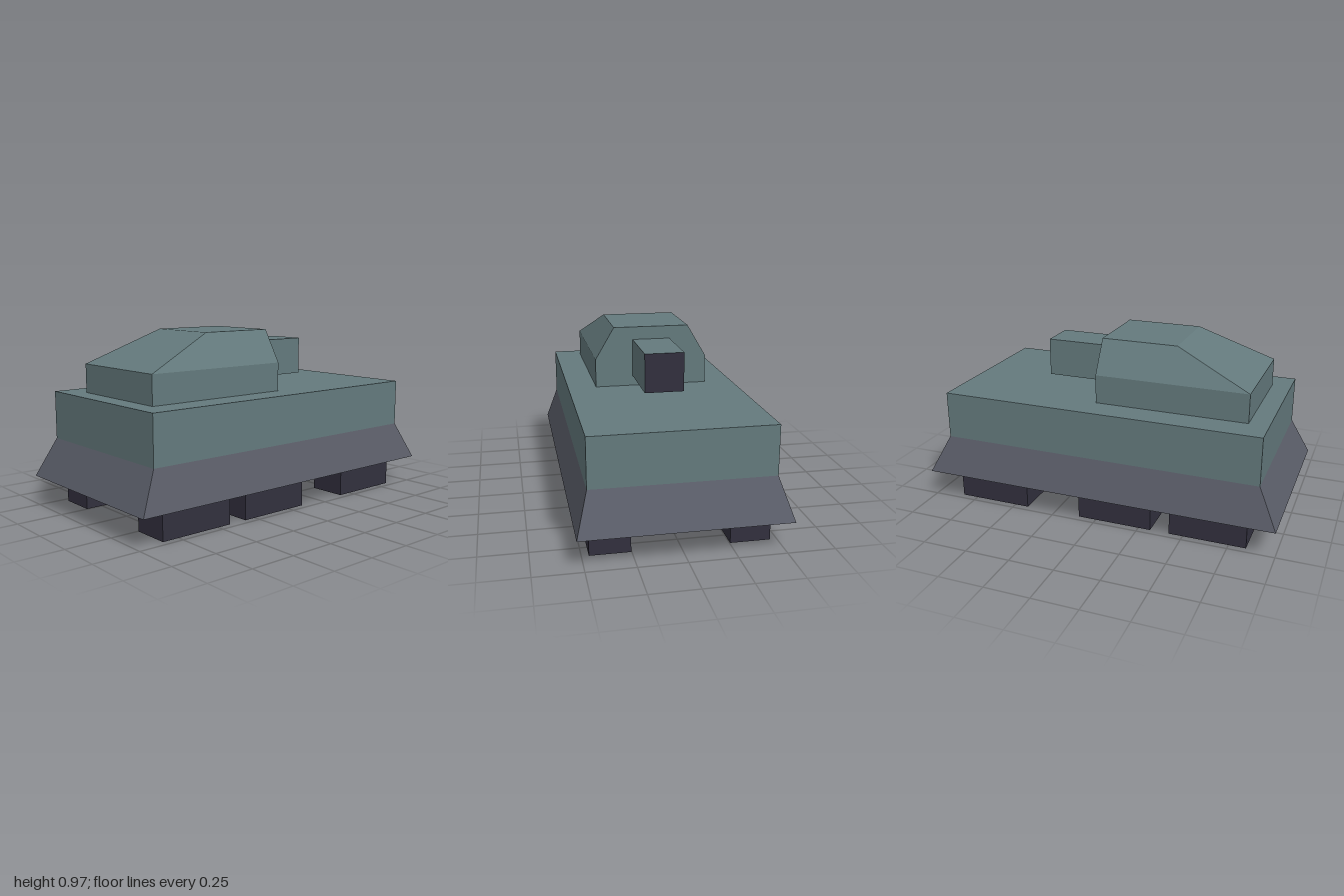
import * as THREE from 'three';

const armour = new THREE.MeshStandardMaterial({ color: 0x647a7d });
armour.name = 'armour teal';
const skirtGrey = new THREE.MeshStandardMaterial({ color: 0x5a5d68, side: THREE.DoubleSide });
skirtGrey.name = 'skirt grey';
const dark = new THREE.MeshStandardMaterial({ color: 0x32303e });
dark.name = 'dark running gear';

// Box given by its minimum and maximum corners
function box(name, min, max, material) {
  const size = max.map((v, i) => v - min[i]);
  const mesh = new THREE.Mesh(new THREE.BoxGeometry(...size), material);
  mesh.position.set(...max.map((v, i) => (v + min[i]) / 2));
  mesh.name = name;
  return mesh;
}

// Flat-faced walls through rectangular rings [y, halfWidth, zBack, zFront], bottom to top
function loft(rings, capTop) {
  const loops = rings.map(([y, w, z0, z1]) => [[w, y, z1], [w, y, z0], [-w, y, z0], [-w, y, z1]]);
  const pos = [];
  const quad = (a, b, c, d) => pos.push(...a, ...b, ...c, ...a, ...c, ...d);
  for (let r = 0; r + 1 < loops.length; r++) {
    const lo = loops[r], hi = loops[r + 1];
    for (let i = 0; i < 4; i++) {
      const j = (i + 1) % 4;
      quad(lo[i], lo[j], hi[j], hi[i]);
    }
  }
  if (capTop) quad(...loops[loops.length - 1]);
  const geometry = new THREE.BufferGeometry();
  geometry.setAttribute('position', new THREE.Float32BufferAttribute(pos, 3));
  geometry.computeVertexNormals();
  return geometry;
}

export function createModel() {
  const model = new THREE.Group();
  model.name = 'armouredVehicle';

  // Hull with a dark underside
  model.add(box('hull', [-0.472, 0.37, -0.895], [0.472, 0.633, 0.895],
    [armour, armour, armour, dark, armour, armour]));

  // Flared skirt, open below
  const skirt = new THREE.Mesh(
    loft([[0.16, 0.535, -1, 1], [0.37, 0.472, -0.895, 0.895]], false), skirtGrey);
  skirt.name = 'skirt';
  model.add(skirt);

  // Turret with sloped front and sides
  const turret = new THREE.Mesh(loft([
    [0.633, 0.315, -0.052, 0.788],
    [0.79, 0.315, -0.052, 0.788],
    [0.968, 0.21, -0.052, 0.37],
  ], true), armour);
  turret.name = 'turret';
  model.add(turret);

  // Gun with a dark muzzle face
  model.add(box('gun', [-0.105, 0.688, -0.422], [0.105, 0.897, -0.052],
    [armour, armour, armour, armour, armour, dark]));

  // Three running-gear blocks on each side
  for (const side of [-1, 1]) {
    for (const z of [0.633, 0.108, -0.631]) {
      const x = side * 0.358;
      model.add(box('wheelBlock', [x - 0.105, 0, z - 0.21], [x + 0.105, 0.37, z + 0.21], dark));
    }
  }
  return model;
}
